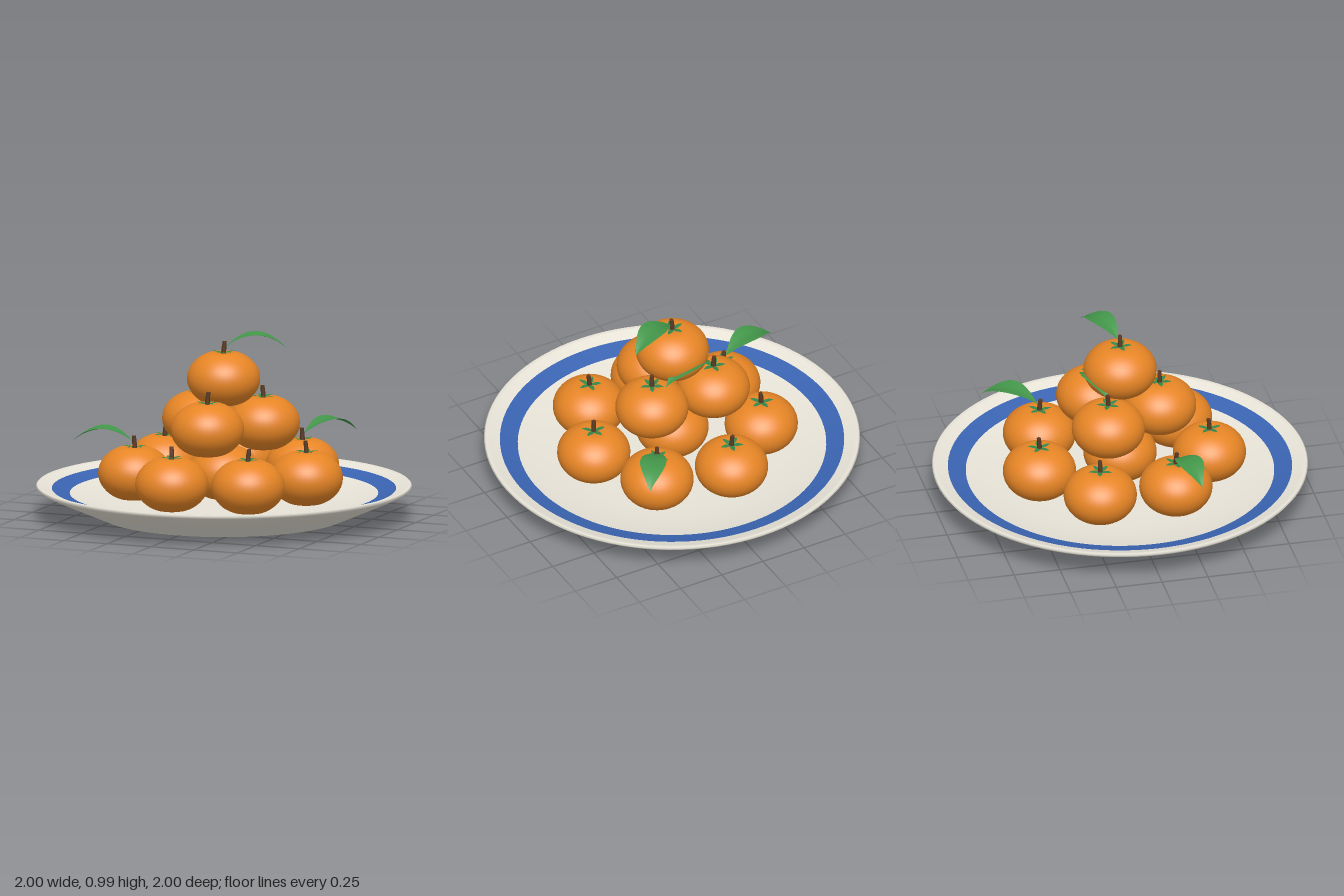
import * as THREE from 'three';

const flat = (name, color, side = THREE.FrontSide) => {
  const m = new THREE.MeshStandardMaterial({ color, side });
  m.name = name;
  return m;
};
const v2 = (p) => p.map(([x, y]) => new THREE.Vector2(x, y));

export function createModel() {
  const cream = flat('cream glaze', 0xe8e4d8);
  const blue = flat('blue glaze', 0x3a64b2, THREE.DoubleSide);
  const orange = flat('orange peel', 0xf28c28);
  const leafGreen = flat('leaf green', 0x43964a, THREE.DoubleSide);
  const calyxGreen = flat('calyx green', 0x37874a, THREE.DoubleSide);
  const brown = flat('stem brown', 0x5a3a24);

  const model = new THREE.Group();
  model.name = 'plateOfOranges';
  const add = (parent, geometry, material, name) => {
    const mesh = new THREE.Mesh(geometry, material);
    mesh.name = name;
    parent.add(mesh);
    return mesh;
  };

  // Plate: flat foot, sloping underside, rounded rim, shallow dish
  add(model, new THREE.LatheGeometry(v2([
    [0, 0], [0.55, 0], [0.625, 0.001], [0.645, 0.006], [0.8, 0.073], [0.96, 0.143],
    [0.99, 0.16], [1, 0.173], [0.992, 0.181], [0.97, 0.178], [0.915, 0.156],
    [0.82, 0.13], [0.7, 0.111], [0.58, 0.099], [0.4, 0.094], [0, 0.092],
  ]), 96), cream, 'plate');
  add(model, new THREE.LatheGeometry(v2([
    [0.915, 0.159], [0.868, 0.1455], [0.82, 0.133],
  ]), 96), blue, 'plateBand');

  // Orange body: squashed sphere with a dimple at each pole
  const R = 0.195, H = 0.152;
  const surfaceY = (r) => H * Math.sqrt(Math.max(0, 1 - (r / R) ** 2)) - 0.018 * Math.exp(-((r / 0.05) ** 2));
  const profile = [];
  for (let i = 0; i <= 28; i++) {
    const a = (i / 28) * Math.PI;
    const r = i % 28 ? R * Math.sin(a) : 0;
    profile.push([r, -Math.sign(Math.cos(a)) * surfaceY(r)]);
  }
  const body = new THREE.LatheGeometry(v2(profile), 40);

  // Calyx sepal: narrow pointed strip laid on the peel
  const sepal = new THREE.PlaneGeometry(1, 1, 6, 2);
  const sp = sepal.attributes.position;
  for (let i = 0; i < sp.count; i++) {
    const t = sp.getX(i) + 0.5;
    const x = 0.004 + 0.062 * t;
    const z = -sp.getY(i) * 0.026 * Math.sin(Math.PI * (0.12 + 0.88 * t));
    sp.setXYZ(i, x, surfaceY(Math.hypot(x, z)) + 0.005, z);
  }
  sepal.computeVertexNormals();

  // Stem: short tapered twig, slightly bent
  const stem = new THREE.CylinderGeometry(0.011, 0.014, 0.075, 10, 4);
  const st = stem.attributes.position;
  for (let i = 0; i < st.count; i++) {
    const t = st.getY(i) / 0.075 + 0.5;
    st.setX(i, st.getX(i) + 0.006 * t * t);
  }
  stem.translate(0, 0.163, 0);
  stem.computeVertexNormals();

  // Leaf: arched blade with a shallow fold, growing along +x
  const leaf = new THREE.PlaneGeometry(1, 2, 20, 6);
  const lp = leaf.attributes.position;
  for (let i = 0; i < lp.count; i++) {
    const t = lp.getX(i) + 0.5, s = lp.getY(i);
    const w = 0.004 * (1 - t) + 0.068 * Math.sin(Math.PI * t) ** 1.1;
    const y = 0.174 + 0.25 * t * (1 - t) - 0.012 * t + 0.012 * Math.abs(s) * Math.sin(Math.PI * t);
    lp.setXYZ(i, 0.015 + 0.322 * t, y, -s * w);
  }
  leaf.computeVertexNormals();

  let count = 0;
  const addOrange = (x, y, z, leafDir) => {
    const g = new THREE.Group();
    g.name = `orange${++count}`;
    g.position.set(x, y, z);
    add(g, body, orange, 'peel');
    for (let k = 0; k < 5; k++) {
      add(g, sepal, calyxGreen, 'sepal').rotation.y = (k / 5) * Math.PI * 2 + count * 0.9;
    }
    add(g, stem, brown, 'stem').rotation.y = count * 2.1;
    if (leafDir) {
      add(g, leaf, leafGreen, 'leaf').rotation.y = Math.atan2(-leafDir[1], leafDir[0]);
    }
    model.add(g);
  };

  // Bottom layer: seven around one
  const bottomLeaves = { 3: [-0.33, 0.07], 6: [0.195, -0.275] };
  addOrange(0, 0.245, 0);
  for (let i = 0; i < 7; i++) {
    const a = (i / 7) * Math.PI * 2;
    addOrange(0.475 * Math.cos(a), 0.245, 0.475 * Math.sin(a), bottomLeaves[i]);
  }
  // Middle layer of three
  for (let i = 0; i < 3; i++) {
    const a = Math.PI / 2 + (i / 3) * Math.PI * 2;
    addOrange(0.215 * Math.cos(a) - 0.005, 0.508, 0.215 * Math.sin(a), i === 1 ? [0.335, -0.075] : null);
  }
  // Top orange
  addOrange(-0.002, 0.75, 0, [0.305, -0.145]);

  return model;
}
